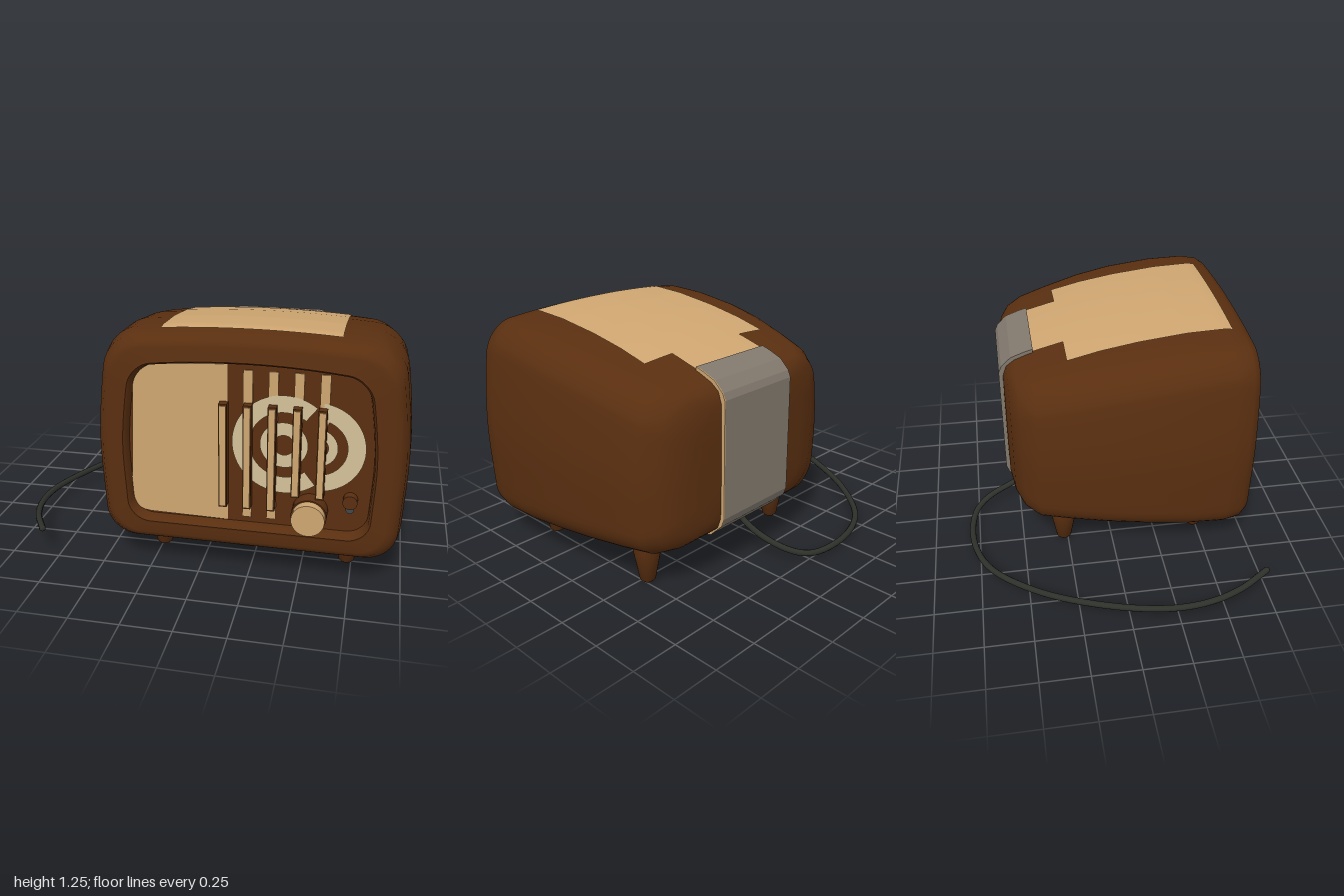
import * as THREE from 'three';
import { toCreasedNormals } from 'three/addons/utils/BufferGeometryUtils.js';

const CX = 0.24;      // cabinet centre in x
const PANEL_Z = 0.68; // recessed face of the cabinet
const ARCH = 0.04;    // how far the top drops towards its sides

// Cabinet outline along depth: z, half width, bottom, top, corner radius
const RECESS = [
  [PANEL_Z, 0.595, 0.28, 1.1, 0.1],
  [0.728, 0.6, 0.27, 1.11, 0.1],
  [0.742, 0.61, 0.262, 1.12, 0.11],
  [0.738, 0.622, 0.25, 1.13, 0.11],
];
const SHELL = [
  [0.742, 0.68, 0.2, 1.19, 0.13],
  [0.73, 0.715, 0.175, 1.215, 0.15],
  [0.69, 0.742, 0.15, 1.24, 0.15],
  [0.6, 0.757, 0.14, 1.252, 0.15],
  [0.4, 0.765, 0.155, 1.243, 0.15],
  [0.15, 0.76, 0.185, 1.213, 0.15],
  [-0.05, 0.735, 0.2, 1.178, 0.15],
  [-0.25, 0.695, 0.213, 1.13, 0.15],
  [-0.4, 0.66, 0.225, 1.09, 0.15],
  [-0.48, 0.6, 0.26, 1.06, 0.15],
  [-0.525, 0.5, 0.3, 1.03, 0.15],
  [-0.545, 0.38, 0.36, 0.98, 0.12],
];

// Rounded rectangle, counterclockwise from the front, tapered upwards and arched on top
function ring([z, hw, y0, y1, r]) {
  const pts = [];
  const corners = [[hw - r, y1 - r], [r - hw, y1 - r], [r - hw, y0 + r], [hw - r, y0 + r]];
  corners.forEach(([cx, cy], i) => {
    for (let k = 0; k <= 8; k++) {
      const a = (i + k / 8) * Math.PI / 2;
      pts.push([cx + r * Math.cos(a), cy + r * Math.sin(a)]);
    }
    const [ax, ay] = pts[pts.length - 1];
    const [nx, ny] = corners[(i + 1) % 4];
    const b = (i + 1) * Math.PI / 2;
    const bx = nx + r * Math.cos(b), by = ny + r * Math.sin(b);
    for (let k = 1; k < 10; k++) pts.push([ax + (bx - ax) * k / 10, ay + (by - ay) * k / 10]);
  });
  return pts.map(([x, y]) => {
    const t = (y - y0) / (y1 - y0);
    const s = 1 - 0.08 * Math.max(0, (t - 0.5) * 2) ** 1.5 - 0.03 * Math.max(0, 1 - t / 0.4);
    return [CX + x * s, y - ARCH * t * (x / hw) ** 2, z];
  });
}

function cabinetGeometry() {
  const sections = [...RECESS, ...SHELL];
  const rings = sections.map(ring);
  const n = rings[0].length;
  const pos = rings.flat(2);
  const index = [];
  for (let i = 0; i < rings.length - 1; i++) {
    for (let j = 0; j < n; j++) {
      const k = (j + 1) % n;
      const a = i * n + j, b = i * n + k, c = a + n, d = b + n;
      index.push(a, c, b, b, c, d);
    }
  }
  const front = rings.length * n, last = (rings.length - 1) * n;
  pos.push(CX, 0.69, PANEL_Z, CX, 0.67, -0.552);
  for (let j = 0; j < n; j++) {
    const k = (j + 1) % n;
    index.push(front, j, k, front + 1, last + k, last + j);
  }
  const g = new THREE.BufferGeometry();
  g.setAttribute('position', new THREE.Float32BufferAttribute(pos, 3));
  g.setIndex(index);
  return toCreasedNormals(g, 0.75);
}

// Height of the cabinet top at x, z
function topY(x, z) {
  let i = 0;
  while (i < SHELL.length - 2 && SHELL[i + 1][0] > z) i++;
  const p = SHELL[i], q = SHELL[i + 1];
  const t = (z - p[0]) / (q[0] - p[0]);
  const hw = p[1] + (q[1] - p[1]) * t;
  return p[3] + (q[3] - p[3]) * t - ARCH * ((x - CX) / (hw * 0.92)) ** 2;
}

// Thin sheet that follows the cabinet top
function topSheet(x0, x1, z0, z1) {
  const g = new THREE.PlaneGeometry(x1 - x0, z1 - z0, 16, 36).rotateX(-Math.PI / 2);
  g.translate((x0 + x1) / 2, 0, (z0 + z1) / 2);
  const p = g.attributes.position;
  for (let i = 0; i < p.count; i++) p.setY(i, topY(p.getX(i), p.getZ(i)) + 0.007);
  g.computeVertexNormals();
  return g;
}

export function createModel() {
  const model = new THREE.Group();
  model.name = 'tabletopRadio';
  const material = (name, color) => {
    const m = new THREE.MeshStandardMaterial({ color });
    m.name = name;
    return m;
  };
  const brown = material('walnutBrown', 0x5a2f10);
  const tan = material('tan', 0xcfa671);
  const cream = material('cream', 0xd4c198);
  const grey = material('warmGrey', 0x82796e);
  const black = material('cableBlack', 0x2e302a);
  const slate = material('slate', 0x40484c);

  const add = (name, geometry, mat, x = 0, y = 0, z = 0) => {
    const mesh = new THREE.Mesh(geometry, mat);
    mesh.name = name;
    mesh.position.set(x, y, z);
    model.add(mesh);
    return mesh;
  };

  // Cabinet with recessed face, and the low disc beneath it
  add('cabinet', cabinetGeometry(), brown);
  add('baseDisc', new THREE.CylinderGeometry(0.33, 0.33, 0.05, 48), brown, CX, 0.19, 0.39);

  // Tan cover on top
  add('topPanel', topSheet(-0.19, 0.66, -0.22, 0.64), tan);
  add('topPanelTab', topSheet(-0.01, 0.48, -0.385, -0.22), tan);

  // Grey strap over the back with a tan edge on one side
  const strap = new THREE.Shape([
    [0.38, 1.108], [0.43, 1.093], [0.5, 1.066], [0.552, 1.015], [0.567, 0.98],
    [0.567, 0.36], [0.55, 0.315], [0.48, 0.245], [0.38, 0.212],
  ].map(([a, b]) => new THREE.Vector2(a, b)));
  const strapPart = (name, x, width, mat) => add(name,
    new THREE.ExtrudeGeometry(strap, { depth: width, bevelEnabled: false }).rotateY(Math.PI / 2), mat, x);
  strapPart('backStrap', -0.01, 0.484, grey);
  strapPart('backStrapEdge', 0.474, 0.006, tan);

  // Plain tan part of the face
  const screen = new THREE.Shape();
  screen.moveTo(0.14, 0.284);
  screen.lineTo(-0.25, 0.29);
  screen.quadraticCurveTo(-0.355, 0.295, -0.352, 0.4);
  screen.lineTo(-0.325, 0.97);
  screen.quadraticCurveTo(-0.31, 1.065, -0.22, 1.075);
  screen.lineTo(0.14, 1.095);
  add('facePanel', new THREE.ExtrudeGeometry(screen, { depth: 0.006, bevelEnabled: false }), tan, 0, 0, PANEL_Z);

  // Painted stripes and raised grille bars
  [0.235, 0.355, 0.475, 0.595].forEach((x, i) => {
    add('upperStripe', new THREE.BoxGeometry(0.045, 0.24, 0.006), tan, x, 0.95, PANEL_Z + 0.004);
    if (i < 2) add('lowerStripe', new THREE.BoxGeometry(0.045, 0.09, 0.006), tan, x, 0.355, PANEL_Z + 0.004);
  });
  for (let i = 0; i < 5; i++) {
    const x = 0.122 + i * 0.117;
    const low = i > 2 ? 0.46 : 0.375;
    add('grilleBar', new THREE.BoxGeometry(0.04, 0.91 - low, 0.05), brown, x, (0.91 + low) / 2, PANEL_Z + 0.025);
    add('grilleBarFace', new THREE.BoxGeometry(0.032, 0.895 - low, 0.008), tan, x, (0.91 + low) / 2, PANEL_Z + 0.052);
  }

  // Painted speaker rings: a cut circle with a half circle beside it
  const deg = Math.PI / 180;
  const speakerRing = (x, inner, outer, from, sweep) => add('speakerRing',
    new THREE.RingGeometry(inner, outer, 48, 1, from * deg, sweep * deg), cream, x, 0.71, PANEL_Z + 0.009);
  speakerRing(0.41, 0.165, 0.25, 52, 256);
  speakerRing(0.41, 0.05, 0.115, 0, 360);
  speakerRing(0.57, 0.14, 0.225, -84, 168);
  speakerRing(0.57, 0.05, 0.095, -75, 150);

  // Tuning knob, small knob and indicator
  const dial = (name, r, z0, z1, mat, x, y) => add(name,
    new THREE.CylinderGeometry(r, r, z1 - z0, 32).rotateX(Math.PI / 2), mat, x, y, (z0 + z1) / 2);
  dial('knobBase', 0.086, PANEL_Z, 0.755, brown, 0.545, 0.378);
  dial('knobCap', 0.08, 0.755, 0.8, tan, 0.545, 0.378);
  dial('smallKnob', 0.035, PANEL_Z, 0.725, brown, 0.735, 0.455);
  dial('indicator', 0.02, PANEL_Z, 0.688, slate, 0.735, 0.4);

  // Four tapered feet
  for (const x of [-0.245, 0.725]) {
    for (const z of [0.49, -0.27]) {
      const foot = new THREE.LatheGeometry([[0, 0], [0.03, 0], [0.041, 0.012], [0.07, 0.17], [0.076, 0.25]]
        .map(([r, y]) => new THREE.Vector2(r, y)), 24);
      add('foot', toCreasedNormals(foot, 0.9), brown, x, 0.005, z);
    }
  }

  // Power cable trailing from the back round to one side
  const path = new THREE.CatmullRomCurve3([
    [0.17, 0.25, -0.37], [0.165, 0.2, -0.4], [0.145, 0.125, -0.52], [0.09, 0.07, -0.68], [0, 0.045, -0.76],
    [-0.25, 0.04, -0.785], [-0.5, 0.05, -0.7], [-0.73, 0.065, -0.45], [-0.9, 0.085, -0.1],
    [-0.982, 0.108, 0.2], [-0.98, 0.122, 0.4], [-0.93, 0.135, 0.57], [-0.835, 0.15, 0.735],
  ].map((p) => new THREE.Vector3(...p)));
  add('cable', new THREE.TubeGeometry(path, 80, 0.017, 10), black);
  const end = path.getPoint(1);
  add('cableEnd', new THREE.SphereGeometry(0.017, 10, 8), black, end.x, end.y, end.z);

  return model;
}
